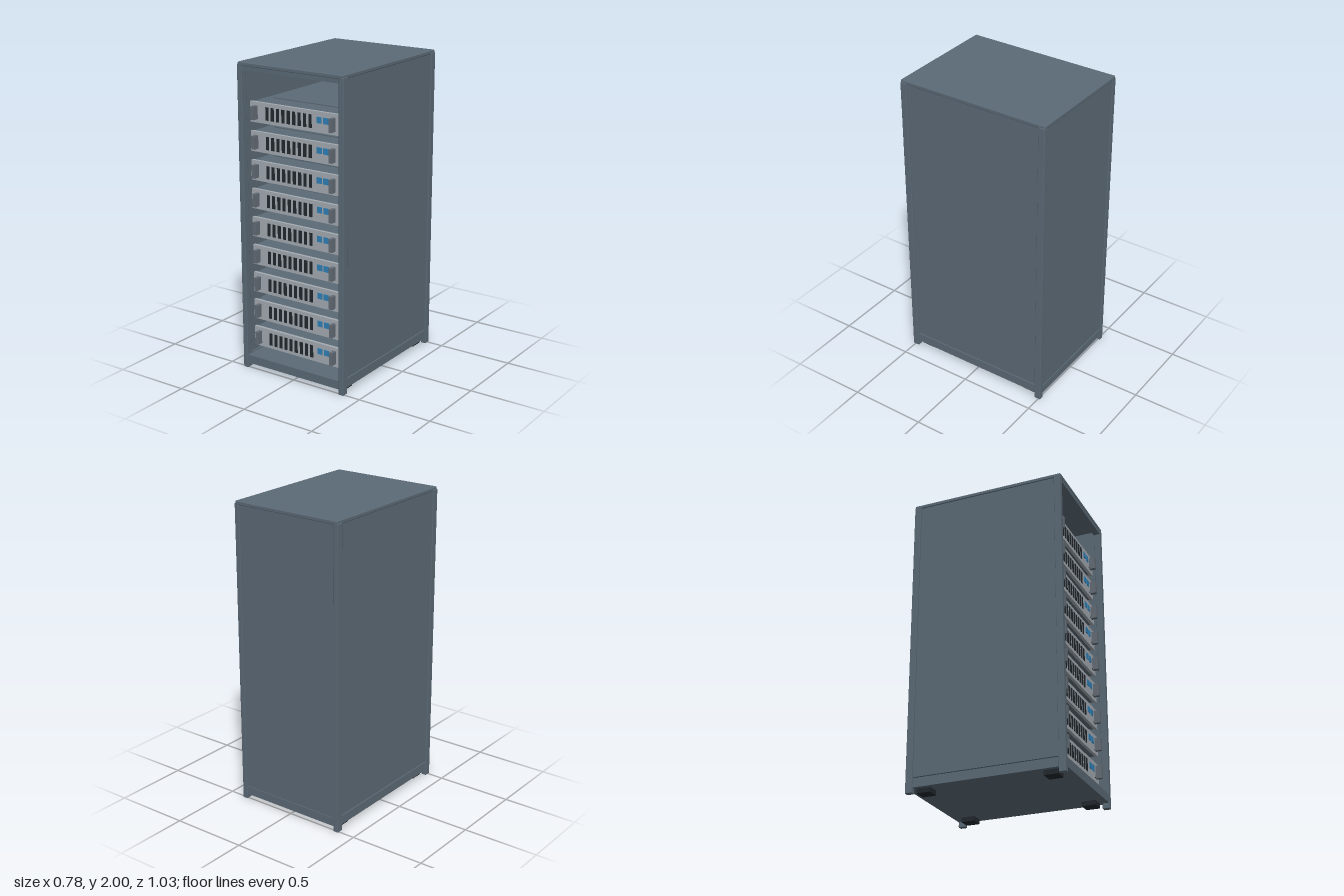
import * as THREE from 'three';
import { RoundedBoxGeometry } from 'three/addons/geometries/RoundedBoxGeometry.js';

const material = (name, color) => {
  const m = new THREE.MeshStandardMaterial({ color });
  m.name = name;
  return m;
};

export function createModel() {
  const steel = material('slate steel', 0x5b6a76);
  const silver = material('light grey', 0xa3abb1);
  const handleGrey = material('handle grey', 0x636c75);
  const dark = material('near black', 0x22282d);
  const blue = material('indicator blue', 0x2f80b8);

  const rack = new THREE.Group();
  rack.name = 'serverRack';

  // Box given by its lower and upper limits on each axis
  const box = (parent, name, mat, [x0, x1], [y0, y1], [z0, z1], radius = 0) => {
    const size = [x1 - x0, y1 - y0, z1 - z0];
    const geometry = radius
      ? new RoundedBoxGeometry(...size, 2, radius)
      : new THREE.BoxGeometry(...size);
    const mesh = new THREE.Mesh(geometry, mat);
    mesh.name = name;
    mesh.position.set((x0 + x1) / 2, (y0 + y1) / 2, (z0 + z1) / 2);
    parent.add(mesh);
    return mesh;
  };
  const mirror = ([a, b], s) => (s > 0 ? [a, b] : [-b, -a]);

  // Cabinet shell
  box(rack, 'roof', steel, [-0.385, 0.385], [1.975, 2], [-0.515, 0.515], 0.006);
  box(rack, 'floor', steel, [-0.378, 0.378], [0.035, 0.088], [-0.47, 0.47]);
  box(rack, 'backPanel', steel, [-0.356, 0.356], [0.088, 1.952], [-0.507, -0.49]);

  for (const s of [-1, 1]) {
    box(rack, 'sidePanel', steel, mirror([0.36, 0.38], s), [0.1, 1.98], [-0.472, 0.472]);
    box(rack, 'lowerSideRail', steel, mirror([0.356, 0.382], s), [0.035, 0.094], [-0.472, 0.472]);
    // Top and bottom rails of the front and back frames
    box(rack, 'upperRail', steel, [-0.356, 0.356], [1.95, 1.98], mirror([0.47, 0.513], s));
    box(rack, 'lowerRail', steel, [-0.356, 0.356], [0.035, 0.09], mirror([0.47, 0.513], s));
    for (const t of [-1, 1]) {
      box(rack, 'cornerPost', steel, mirror([0.355, 0.39], s), [0, 1.985], mirror([0.47, 0.515], t), 0.004);
      box(rack, 'foot', dark, mirror([0.27, 0.355], s), [0.005, 0.036], mirror([0.365, 0.455], t));
    }
  }

  // One rack-mounted server, centred on its own front panel height
  const makeServer = () => {
    const server = new THREE.Group();
    server.name = 'server';
    box(server, 'body', steel, [-0.325, 0.325], [-0.06, 0.062], [-0.4, 0.442]);
    box(server, 'lid', steel, [-0.272, 0.268], [0.062, 0.068], [-0.38, 0.31]);
    box(server, 'rearTab', silver, [-0.072, 0.07], [0.068, 0.096], [-0.39, -0.35]);
    box(server, 'frontPanel', silver, [-0.336, 0.332], [-0.064, 0.064], [0.44, 0.46]);
    for (const x of [-0.291, 0.285]) {
      box(server, 'handle', handleGrey, [x - 0.012, x + 0.012], [-0.042, 0.042], [0.458, 0.5]);
    }
    for (let i = 0; i < 9; i++) {
      const x = -0.207 + i * 0.0402;
      box(server, 'ventSlot', dark, [x - 0.011, x + 0.011], [-0.042, 0.04], [0.456, 0.463]);
    }
    for (const x of [0.18, 0.228]) {
      box(server, 'indicator', blue, [x - 0.018, x + 0.018], [-0.006, 0.032], [0.456, 0.464]);
    }
    box(server, 'smallButton', dark, [0.263, 0.27], [-0.04, -0.033], [0.456, 0.462]);
    return server;
  };

  // Nine evenly spaced servers
  for (let i = 0; i < 9; i++) {
    const server = makeServer();
    server.position.y = 0.214 + i * 0.1845;
    rack.add(server);
  }
  return rack;
}
